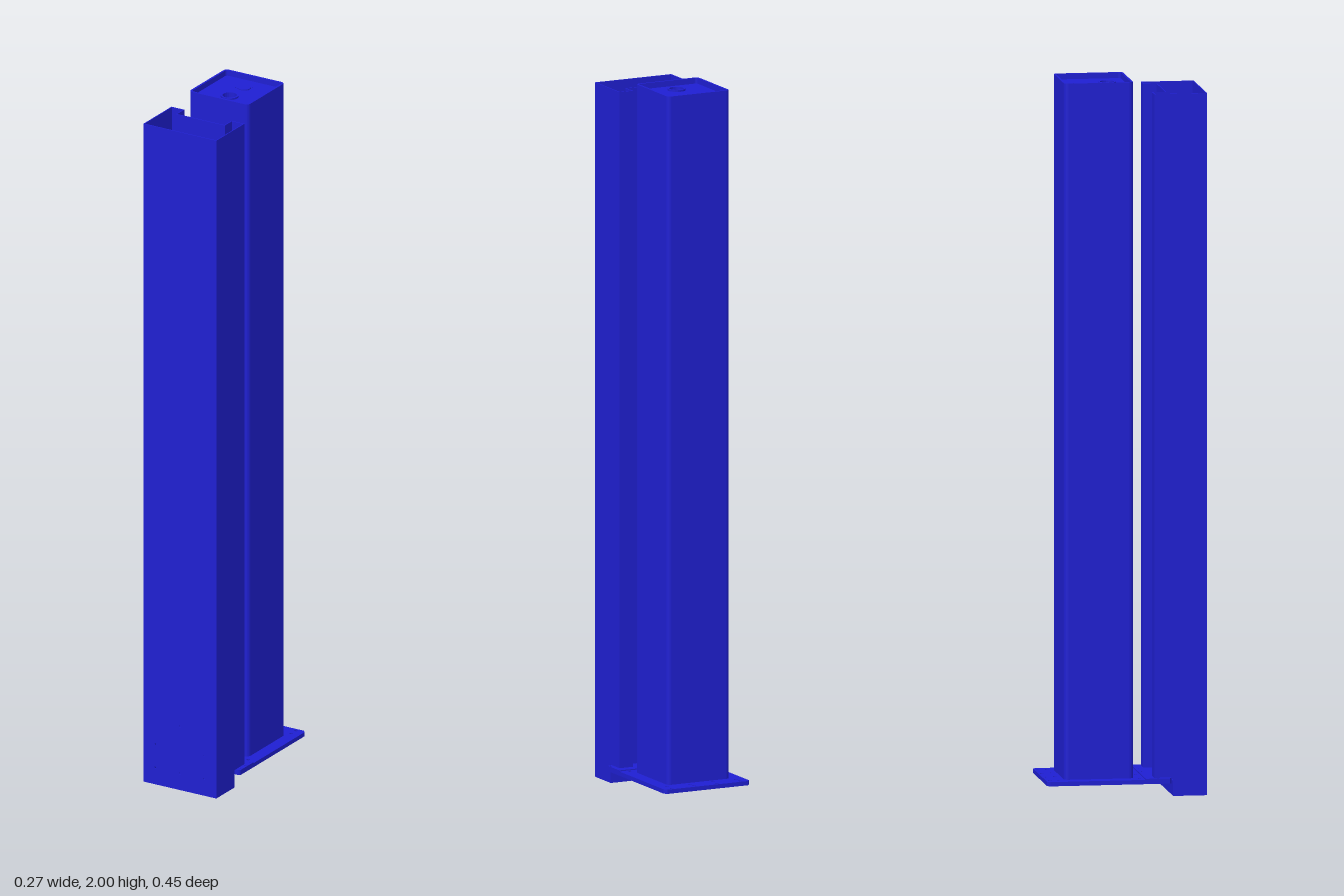
import * as THREE from 'three';

const blue = new THREE.MeshStandardMaterial({ color: 0x1f1fd2, side: THREE.DoubleSide });

function addMesh(parent, name, geometry) {
  const mesh = new THREE.Mesh(geometry, blue);
  mesh.name = name;
  parent.add(mesh);
  return mesh;
}

// Closed outline from [x, z] points, drawn as a plan
const plan = (points, Type = THREE.Shape) =>
  new Type(points.map(([x, z]) => new THREE.Vector2(x, -z)));

// Rectangle with rounded corners, in plan
function roundRect(x0, x1, z0, z1, r, Type = THREE.Shape) {
  const corners = [[x1 - r, z1 - r, 0], [x0 + r, z1 - r, 1], [x0 + r, z0 + r, 2], [x1 - r, z0 + r, 3]];
  const points = [];
  for (const [cx, cz, q] of corners) {
    for (let i = 0; i <= 5; i++) {
      const a = (q + i / 5) * Math.PI / 2;
      points.push([cx + r * Math.cos(a), cz + r * Math.sin(a)]);
    }
  }
  return plan(points, Type);
}

const circle = (x, z, r) => new THREE.Path().absarc(x, -z, r, 0, Math.PI * 2, true);

// Raise a plan shape from y0 to y1
function raise(shape, y0, y1) {
  const g = new THREE.ExtrudeGeometry(shape, { depth: y1 - y0, bevelEnabled: false, curveSegments: 10 });
  return g.rotateX(-Math.PI / 2).translate(0, y0, 0);
}

// Mirror a half outline (running along +x) into a closed one
const mirrored = half => [...half, ...half.slice().reverse().map(([x, z]) => [-x, z])];

export function createModel() {
  const model = new THREE.Group();
  model.name = 'floorColumn';

  // Base plate with bolt holes
  const base = plan(mirrored([[0.125, -0.225], [0.133, -0.217], [0.133, 0.119], [0.129, 0.123]]));
  for (const x of [-0.107, -0.036, 0.036, 0.107]) {
    for (const z of [-0.214, -0.189, 0.037]) base.holes.push(circle(x, z, 0.005));
  }
  const screws = [[0, 0.061], [0.064, 0.061], [-0.064, 0.061]];
  for (const z of [0.061, 0.086, 0.111]) screws.push([0.128, z], [-0.128, z]);
  for (const [x, z] of screws) base.holes.push(circle(x, z, 0.0022));
  addMesh(model, 'basePlate', raise(base, 0.037, 0.049));

  // Thin mounting sheet under the cover
  const sheet = plan(mirrored([[0.133, 0.051], [0.133, 0.119], [0.129, 0.123]]));
  for (const [x, z] of screws) sheet.holes.push(circle(x, z, 0.0022));
  addMesh(model, 'mountingSheet', raise(sheet, 0.049, 0.052));

  // Square hollow column
  const column = new THREE.Group();
  column.name = 'column';
  model.add(column);
  const tube = roundRect(-0.097, 0.097, -0.172, 0.022, 0.012);
  tube.holes.push(roundRect(-0.091, 0.091, -0.166, 0.016, 0.008, THREE.Path));
  addMesh(column, 'columnTube', raise(tube, 0.049, 2));

  // Recessed top plate with a cable hole and a round cap
  const top = roundRect(-0.091, 0.091, -0.166, 0.016, 0.008);
  top.holes.push(circle(0, -0.037, 0.02));
  for (const x of [-0.02, 0.02]) {
    for (const z of [-0.125, -0.102]) top.holes.push(circle(x, z, 0.002));
  }
  addMesh(column, 'topPlate', raise(top, 1.978, 1.984));
  const ring = new THREE.Shape().absarc(0, 0.037, 0.025, 0, Math.PI * 2, false);
  ring.holes.push(circle(0, -0.037, 0.02));
  addMesh(column, 'cableRing', raise(ring, 1.972, 1.989));
  addMesh(column, 'roundCap', new THREE.CylinderGeometry(0.019, 0.019, 0.003, 32))
    .position.set(0, 1.985, -0.113);

  // Front cover: front sheet with screw holes
  const cover = new THREE.Group();
  cover.name = 'frontCover';
  model.add(cover);
  const t = 0.003;
  const w = 0.119;
  const front = new THREE.Shape();
  front.moveTo(-w, 0).lineTo(w, 0).lineTo(w, 1.968).lineTo(-w, 1.968).closePath();
  for (const [x, y] of [[0, 0.19], [-0.08, 0.12], [0.08, 0.12], [0, 0.05], [-0.08, 0.05], [0.08, 0.05]]) {
    front.holes.push(new THREE.Path().absarc(x, y, 0.003, 0, Math.PI * 2, true));
  }
  const frontSheet = new THREE.ExtrudeGeometry(front, { depth: t, bevelEnabled: false, curveSegments: 8 });
  addMesh(cover, 'coverFront', frontSheet.translate(0, 0, 0.225 - t));

  // Folded sides and back with a recessed channel
  const r = 0.077;
  const outer = [[w, 0.225 - t], [w, 0.077], [r, 0.077], [r, 0.114]];
  const inner = [[r + t, 0.114 + t], [r + t, 0.077 + t], [w - t, 0.077 + t], [w - t, 0.225 - t]];
  const right = outer.map(([x, z]) => [-x, z]).reverse();
  const rightInner = inner.map(([x, z]) => [-x, z]).reverse();
  addMesh(cover, 'coverSidesAndBack', raise(plan([...outer, ...right, ...rightInner, ...inner]), 0.052, 1.968));

  // Foot of the cover: side walls, rear wall and slotted floor
  for (const s of [-1, 1]) {
    addMesh(cover, 'footSide', new THREE.BoxGeometry(t, 0.052, 0.092))
      .position.set(s * (w - t / 2), 0.026, 0.176);
  }
  addMesh(cover, 'footBack', new THREE.BoxGeometry(2 * (w - t), 0.042, t)).position.set(0, 0.021, 0.1315);
  const floor = plan([[-w + t, 0.13], [w - t, 0.13], [w - t, 0.222], [-w + t, 0.222]]);
  floor.holes.push(roundRect(-0.059, 0.059, 0.134, 0.164, 0.005, THREE.Path));
  addMesh(cover, 'footFloor', raise(floor, 0, t));

  return model;
}
